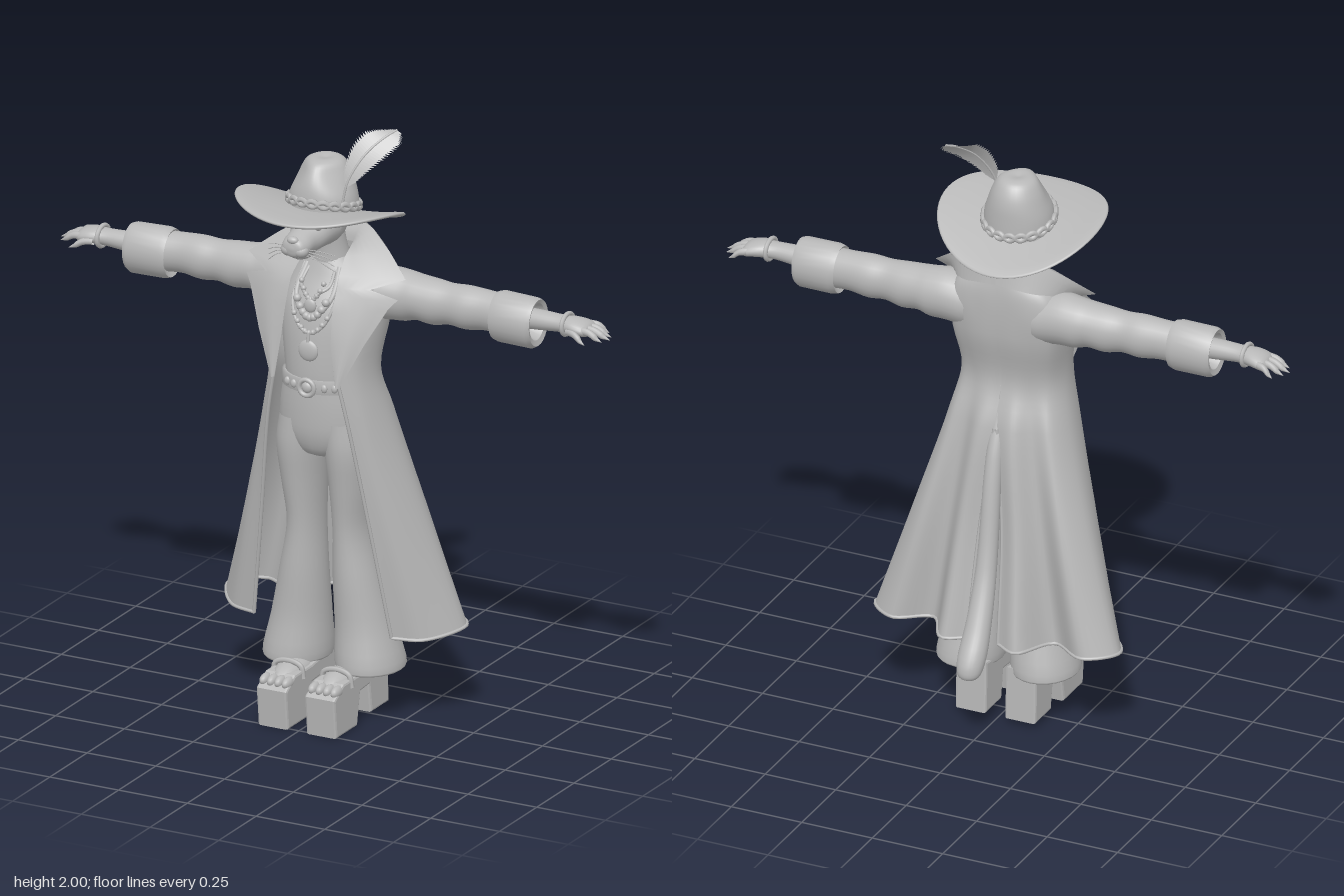
import * as THREE from 'three';
import { mergeVertices, mergeGeometries, toCreasedNormals } from 'three/addons/utils/BufferGeometryUtils.js';

const V = (p) => new THREE.Vector3(...p);
const spline = (pts, closed = false) => new THREE.CatmullRomCurve3(pts.map(V), closed);

// Surface through rows of [x, y, z] points; nu steps along a row, nv steps between rows
function loft(rows, nu, nv, closed = false) {
  const lines = rows.map((r) => spline(r, closed).getPoints(nu));
  const n = (rows.length - 1) * nv;
  const pos = [], idx = [];
  for (let i = 0; i <= nu; i++) {
    const col = new THREE.CatmullRomCurve3(lines.map((l) => l[i])).getPoints(n);
    col.forEach((p) => pos.push(p.x, p.y, p.z));
  }
  for (let i = 0; i < nu; i++) {
    for (let j = 0; j < n; j++) {
      const a = i * (n + 1) + j, b = a + n + 1;
      idx.push(a, b, a + 1, b, b + 1, a + 1);
    }
  }
  let g = new THREE.BufferGeometry();
  g.setAttribute('position', new THREE.Float32BufferAttribute(pos, 3));
  g.setIndex(idx);
  g = mergeVertices(g);
  g.computeVertexNormals();
  return g;
}

// Elliptic sections [x, y, z, a, b] stacked along an axis
function skin(sections, axis = 'y', nv = 4, nu = 24) {
  const rows = sections.map(([x, y, z, a, b]) => Array.from({ length: 16 }, (_, i) => {
    const t = (i / 16) * Math.PI * 2, c = a * Math.cos(t), s = b * Math.sin(t);
    if (axis === 'y') return [x + c, y, z - s];
    return axis === 'x' ? [x, y + c, z + s] : [x + c, y + s, z];
  }));
  return loft(rows, nu, nv, true);
}

const tube = (pts, r, closed = false, n = 40) => new THREE.TubeGeometry(spline(pts, closed), n, r, 6, closed);
const ellipsoid = (x, y, z, a, b, c) => new THREE.SphereGeometry(1, 16, 12).scale(a, b, c).translate(x, y, z);

export function createModel() {
  const cloth = new THREE.MeshStandardMaterial({ color: 0xb8b8b8, side: THREE.DoubleSide });
  cloth.name = 'plain grey';
  const model = new THREE.Group();
  model.name = 'coatedFigure';
  const add = (parent, name, geometry) => {
    const m = new THREE.Mesh(geometry, cloth);
    m.name = name;
    parent.add(m);
    return m;
  };
  const side = new THREE.Group();
  side.name = 'leftSide';

  // Shirt, hips and neck
  add(model, 'shirt', skin([[0, 1.1, .07, .13, .1], [0, 1.2, .075, .135, .105], [0, 1.4, .045, .16, .12],
    [0, 1.5, .025, .13, .095], [0, 1.57, .03, .07, .065]]));
  add(model, 'hips', skin([[0, 1.17, .075, .135, .11], [0, 1.06, .06, .158, .125], [0, .97, .055, .155, .12],
    [0, .91, .055, .09, .09], [0, .89, .055, 0, 0]]));
  add(model, 'neck', skin([[0, 1.52, .03, .075, .07], [0, 1.6, .045, .058, .058], [-.01, 1.68, .06, .06, .06]]));

  // Belt and buckle
  const ring = (y, z, a, b, n = 24) => Array.from({ length: n }, (_, i) => {
    const t = (i / n) * Math.PI * 2;
    return [a * Math.cos(t), y, z + b * Math.sin(t)];
  });
  add(model, 'belt', skin([[0, 1.135, .073, .135, .11], [0, 1.135, .073, .144, .12], [0, 1.18, .075, .142, .118], [0, 1.18, .075, .13, .11]], 'y', 1));
  add(model, 'buckle', new THREE.TorusGeometry(.027, .008, 8, 20).translate(0, 1.157, .2));
  add(model, 'buckleStone', ellipsoid(0, 1.157, .197, .018, .018, .01));
  for (const x of [-.085, -.055, .055, .085]) add(model, 'beltStud', ellipsoid(x, 1.157, .193 - x * x * 3.2, .011, .014, .008));

  // Necklaces and pendants
  [[1.45, .05, .006], [1.39, .065, .009], [1.34, .075, .006]].forEach(([y, w, r]) => {
    const z = .165 + (1.45 - y) * .12, m = (y + 1.53) / 2;
    add(model, 'necklace', tube([[-w * .9, 1.54, .085], [-w, m, z - .025], [-w * .6, y + .025, z], [0, y, z + .008],
      [w * .6, y + .025, z], [w, m, z - .025], [w * .9, 1.54, .085]], r));
    const beads = [];
    for (let i = -4; i <= 4; i++) beads.push(ellipsoid(i * w / 5, y + .055 * (i / 4) ** 2, z + .006 - .012 * (i / 4) ** 2, r * 1.5, r * 1.5, r * 1.4));
    add(model, 'necklaceBeads', mergeGeometries(beads));
  });
  add(model, 'pendant', ellipsoid(0, 1.28, .188, .036, .036, .012));
  add(model, 'pendantCord', tube([[0, 1.34, .187], [0, 1.31, .19]], .007, false, 4));
  add(model, 'smallPendant', ellipsoid(0, 1.43, .175, .022, .024, .01));

  // Long coat, one half: each row runs from the front edge round to the back vent
  const coatRows = [
    [1.585, [.07, .05], [.09, .05], [.11, .02], [.1, -.03], [.08, -.055], [.045, -.072], [0, -.075]],
    [1.53, [.085, .11], [.14, .09], [.18, .02], [.16, -.045], [.12, -.07], [.06, -.083], [0, -.083]],
    [1.46, [.1, .155], [.16, .125], [.2, .03], [.18, -.05], [.12, -.078], [.06, -.085], [0, -.085]],
    [1.36, [.1, .185], [.165, .145], [.195, .05], [.175, -.04], [.12, -.067], [.06, -.078], [0, -.078]],
    [1.2, [.115, .205], [.165, .145], [.182, .06], [.155, -.01], [.1, -.037], [.05, -.05], [0, -.05]],
    [1.05, [.145, .19], [.19, .14], [.212, .03], [.175, -.055], [.115, -.065], [.06, -.1], [.005, -.09]],
    [.7, [.195, .14], [.265, .105], [.315, -.03], [.25, -.12], [.165, -.09], [.1, -.15], [.04, -.125]],
    [.33, [.25, .09], [.35, .055], [.43, -.08], [.335, -.16], [.215, -.1], [.13, -.22], [.055, -.185]],
  ];
  add(side, 'coat', loft(coatRows.map(([y, ...p]) => p.map(([x, z], i) => [x, y - (y < .5 && i < 2 ? .02 : 0), z])), 36, 5));
  const hem = coatRows[7].slice(1).map(([x, z], i) => [x, i < 2 ? .31 : .33, z]);
  add(side, 'coatHem', tube(hem, .006));
  add(side, 'coatFrontEdge', tube(coatRows.slice(4).map(([y, p]) => [p[0], y < .5 ? .31 : y, p[1]]), .006));
  add(side, 'ventEdge', tube(coatRows.slice(5).map(([y, ...p]) => [p[6][0], y, p[6][1]]), .006));

  // Notched lapel running into the turned up collar
  const lapel = [
    [[.11, 1.18, .212], [.125, 1.18, .212]], [[.09, 1.32, .205], [.19, 1.32, .17]],
    [[.085, 1.42, .185], [.25, 1.44, .115]], [[.085, 1.47, .165], [.275, 1.47, .095]],
    [[.085, 1.5, .15], [.19, 1.5, .125]], [[.08, 1.53, .13], [.285, 1.53, .06]],
    [[.075, 1.58, .08], [.2, 1.595, .01]], [[.07, 1.6, .03], [.115, 1.645, -.035]],
    [[.045, 1.59, -.03], [.06, 1.65, -.07]], [[0, 1.585, -.045], [0, 1.65, -.08]],
  ];
  add(side, 'lapel', loft(lapel.map(([a, b]) => [a, a.map((v, i) => (v + b[i]) / 2 + (i === 2 ? .008 : 0)), b]), 6, 1));
  add(side, 'collarBack', loft([[[0, 1.65, -.08], [.06, 1.65, -.07], [.115, 1.645, -.035], [.2, 1.595, .01], [.285, 1.53, .06]],
    [[0, 1.57, -.092], [.06, 1.565, -.088], [.12, 1.55, -.065], [.18, 1.53, -.01], [.2, 1.5, .06]]], 16, 2));

  // Sleeve and turned back cuff
  add(side, 'sleeve', skin([[.12, 1.44, .01, .09, .09], [.2, 1.453, 0, .088, .083], [.26, 1.452, -.005, .084, .076],
    [.3, 1.455, -.003, .076, .072], [.36, 1.45, -.002, .077, .068], [.42, 1.453, 0, .069, .06],
    [.48, 1.452, 0, .073, .064], [.55, 1.455, 0, .067, .058], [.63, 1.45, .005, .068, .06]], 'x'));
  add(side, 'cuff', toCreasedNormals(skin([[.6, 1.447, .005, .06, .055], [.59, 1.447, .005, .08, .068], [.61, 1.447, .005, .086, .073],
    [.725, 1.445, .008, .085, .073], [.74, 1.447, .008, .078, .066], [.735, 1.45, .008, .062, .052], [.66, 1.452, .005, .035, .035]], 'x', 1), .7));

  // Hand with bracelet, clawed fingers and thumb
  add(side, 'hand', skin([[.64, 1.455, .005, .036, .036], [.75, 1.46, .008, .033, .035], [.83, 1.462, .008, .028, .034],
    [.88, 1.462, .005, .027, .048], [.92, 1.455, 0, .021, .046], [.935, 1.452, 0, 0, 0]], 'x'));
  add(side, 'bracelet', new THREE.TorusGeometry(.036, .008, 8, 24).rotateY(Math.PI / 2).scale(1, .95, 1.1).translate(.845, 1.463, .008));
  const finger = (x, y, z, x2, y2, z2) => {
    const f = (t, d, r) => [x + (x2 - x) * t, y + (y2 - y) * t + d, z + (z2 - z) * t, r, r];
    add(side, 'finger', skin([f(0, 0, .013), f(.4, .008, .012), f(.68, .004, .011), f(.78, .002, .007), f(1, 0, 0)], 'x', 3, 10));
  };
  [[-.037, .965, -.055], [-.013, .99, -.022], [.012, 1, .005], [.034, .985, .035]].forEach(([z, x2, z2]) => finger(.905, 1.46, z, x2, 1.432, z2));
  finger(.86, 1.452, .04, .94, 1.424, .068);

  // Flared trouser leg
  add(side, 'trouserLeg', skin([[.078, 1.03, .06, .075, .11], [.087, .93, .058, .081, .11], [.087, .8, .05, .07, .098],
    [.083, .65, .042, .059, .085], [.097, .48, .035, .077, .09], [.115, .32, .018, .096, .105], [.132, .18, .01, .111, .127],
    [.132, .172, .01, .104, .12], [.12, .24, .01, .06, .07]]));

  // Open toed platform shoe with a block heel
  const profile = new THREE.Shape([[.255, .01], [.268, .13], [.21, .165], [.1, .165], [-.08, .19], [-.085, .025], [.02, .025],
    [.035, .125], [.105, .12], [.125, .01]].map((p) => new THREE.Vector2(...p)));
  const shoe = new THREE.Group();
  shoe.name = 'shoe';
  add(shoe, 'platformShoe', new THREE.ExtrudeGeometry(profile, { depth: .094, bevelThickness: .008, bevelSize: .008, bevelSegments: 2 })
    .rotateY(-Math.PI / 2).translate(.047, 0, 0));
  for (const x of [-.04, -.013, .014, .041]) add(shoe, 'toe', ellipsoid(x, .152, .235, .016, .02, .032));
  add(shoe, 'foot', ellipsoid(0, .16, .12, .05, .035, .11));
  add(shoe, 'shoeStrap', tube([[-.055, .145, .16], [-.045, .185, .16], [0, .198, .16], [.045, .185, .16], [.055, .145, .16]], .009));
  shoe.position.x = .088;
  side.add(shoe);

  model.add(side);
  const other = side.clone();
  other.name = 'rightSide';
  other.scale.x = -1;
  model.add(other);

  // Tail through the coat vent
  add(model, 'tail', skin([[0, 1.1, -.05, .022, .022], [0, .95, -.1, .028, .028], [-.005, .6, -.165, .034, .034], [-.01, .42, -.235, .042, .042],
    [-.01, .31, -.29, .046, .048], [-.01, .265, -.31, .034, .03], [-.01, .25, -.315, 0, 0]]));

  // Feline head
  const head = new THREE.Group();
  head.name = 'head';
  head.position.x = -.012;
  model.add(head);
  add(head, 'skull', ellipsoid(0, 1.695, .075, .083, .09, .095));
  add(head, 'muzzle', skin([[0, 1.68, .08, .08, .07], [0, 1.675, .15, .07, .062], [0, 1.66, .2, .052, .05], [0, 1.655, .25, .047, .038],
    [0, 1.655, .275, .034, .028], [0, 1.655, .283, 0, 0]], 'z'));
  add(head, 'jaw', ellipsoid(0, 1.622, .2, .036, .022, .055));
  add(head, 'nose', ellipsoid(0, 1.682, .27, .02, .013, .014));
  for (const s of [-1, 1]) {
    add(head, 'lip', ellipsoid(s * .022, 1.645, .255, .027, .023, .026));
    add(head, 'eye', ellipsoid(s * .04, 1.702, .178, .015, .011, .014));
    add(head, 'brow', ellipsoid(s * .04, 1.718, .172, .025, .01, .02));
    for (let i = 0; i < 4; i++) {
      add(head, 'whisker', tube([[s * .035, 1.65 - i * .007, .25], [s * .08, 1.645 - i * .012, .235], [s * .12, 1.63 - i * .018, .21]], .0012, false, 6));
    }
  }

  // Hat: tilted wide brim, pinched crown and twisted band
  const brimRow = (k, drop) => Array.from({ length: 32 }, (_, i) => {
    const t = (i / 32) * Math.PI * 2, x = .28 * k * Math.cos(t), z = .25 * k * Math.sin(t);
    return [x - .01, 1.735 + .24 * z - .56 * z * z + .4 * x * x - drop, z + .09];
  });
  add(model, 'hatBrim', loft([brimRow(.2, 0), brimRow(.45, 0), brimRow(.75, 0), brimRow(.98, 0), brimRow(1, .006),
    brimRow(.98, .012), brimRow(.7, .012), brimRow(.2, .012)], 64, 2, true));
  const crown = skin([[-.01, 1.71, .065, .118, .11], [-.01, 1.77, .065, .113, .109], [-.01, 1.82, .063, .098, .104],
    [-.01, 1.86, .06, .082, .09], [-.01, 1.89, .058, .062, .068], [-.01, 1.9, .055, .035, .04], [-.01, 1.895, .055, 0, 0]], 'y', 4, 32);
  const cp = crown.attributes.position;
  for (let i = 0; i < cp.count; i++) {
    const up = THREE.MathUtils.smoothstep(cp.getY(i), 1.78, 1.88), front = THREE.MathUtils.smoothstep(cp.getZ(i), .05, .14);
    cp.setX(i, -.01 + (cp.getX(i) + .01) * (1 - .35 * up * front));
  }
  crown.computeVertexNormals();
  add(model, 'hatCrown', crown);
  for (const phase of [0, Math.PI]) {
    add(model, 'hatBand', tube(ring(0, .065, .117, .113, 60).map(([x, , z], i) =>
      [x - .01, 1.757 + .24 * (z - .09) + .01 * Math.sin(i * Math.PI / 3 + phase), z]), .009, true, 120));
  }

  // Feather: curved quill with ragged barbs
  const quill = [[.085, 1.765, .12], [.1, 1.85, .105], [.14, 1.935, .06], [.185, 1.985, 0], [.205, 1.998, -.03]];
  add(model, 'featherQuill', tube(quill, .004, false, 20));
  const curve = spline(quill), barbs = [];
  for (let i = 0; i < 32; i++) {
    const t = .22 + .74 * i / 31, w = .05 * Math.sin(Math.PI * Math.min(1, .12 + .83 * i / 31)) + .01;
    for (const s of [-1, 1]) {
      const tip = curve.getPoint(Math.min(1, t + .07)).add(V([s * w * .85, -s * w * .5, 0]));
      if (tip.y > 1.998) tip.y = 1.998;
      barbs.push(...curve.getPoint(t - .04).toArray(), ...curve.getPoint(Math.min(1, t + .05)).toArray(), ...tip.toArray());
    }
  }
  const vane = new THREE.BufferGeometry();
  vane.setAttribute('position', new THREE.Float32BufferAttribute(barbs, 3));
  vane.computeVertexNormals();
  add(model, 'featherBarbs', vane);

  return model;
}
